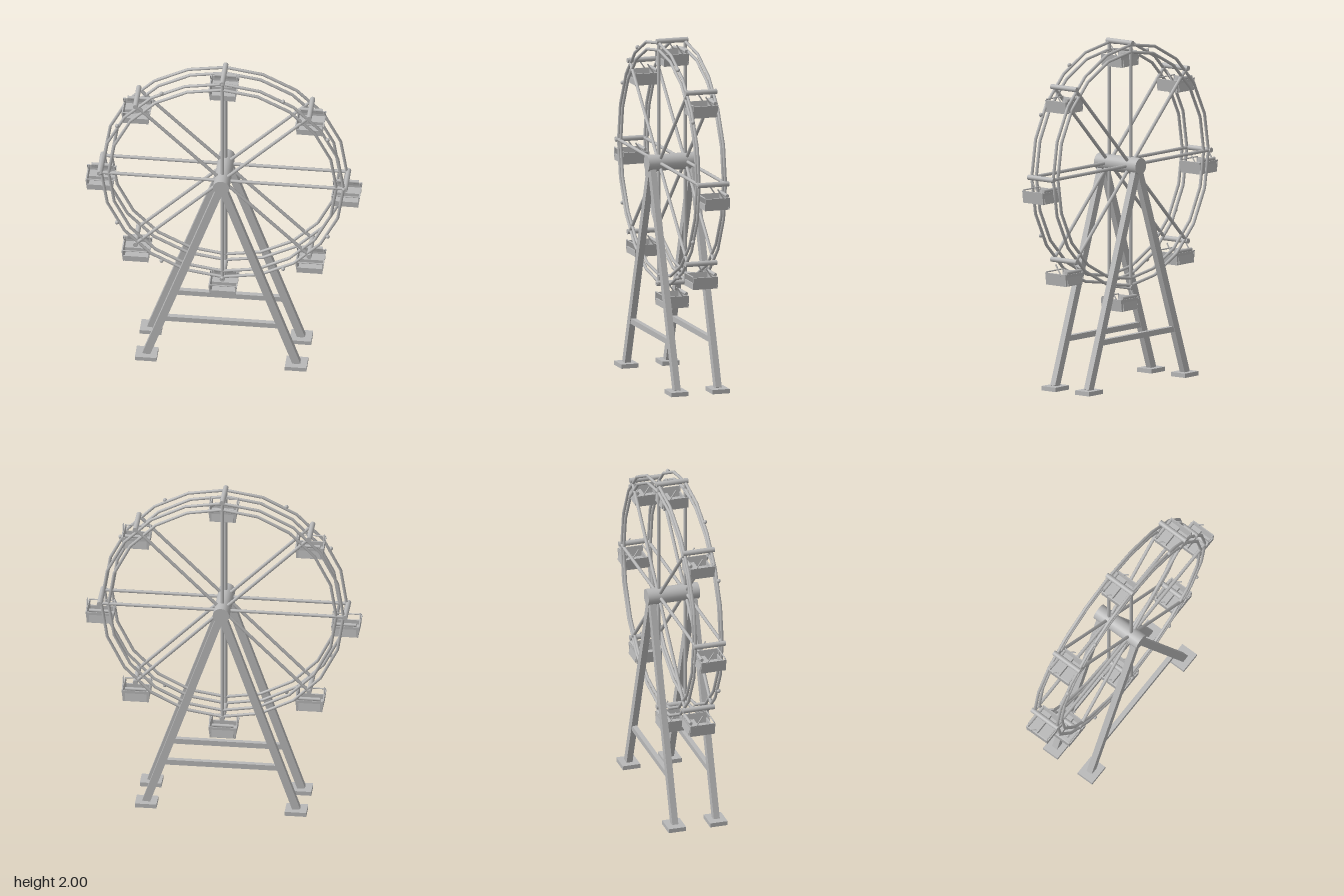
import * as THREE from 'three';

const steel = new THREE.MeshStandardMaterial({ color: 0xb8b8b8 });
steel.name = 'grey steel';

const HUB_Y = 1.275, RIM = 0.71, RING_Z = 0.08, LEG_Z = 0.125;

function add(parent, name, geometry, x = 0, y = 0, z = 0) {
  const mesh = new THREE.Mesh(geometry, steel);
  mesh.name = name;
  mesh.position.set(x, y, z);
  parent.add(mesh);
  return mesh;
}

const box = (w, h, d) => new THREE.BoxGeometry(w, h, d);
const rodZ = (r, length, sides = 16) => new THREE.CylinderGeometry(r, r, length, sides).rotateX(Math.PI / 2);
const rodX = (r, length, sides = 10) => new THREE.CylinderGeometry(r, r, length, sides).rotateZ(Math.PI / 2);

// Straight bar between two points; a box if depth is given, otherwise round
function bar(parent, name, a, b, width, depth) {
  const from = new THREE.Vector3(...a), to = new THREE.Vector3(...b);
  const dir = to.clone().sub(from), length = dir.length();
  const geometry = depth ? box(width, length, depth)
    : new THREE.CylinderGeometry(width / 2, width / 2, length, 8);
  const mesh = add(parent, name, geometry);
  mesh.position.copy(from).add(to).multiplyScalar(0.5);
  mesh.quaternion.setFromUnitVectors(new THREE.Vector3(0, 1, 0), dir.normalize());
  return mesh;
}

// Open car with a bench, hanging below its axle (origin at the axle)
function createCabin() {
  const cabin = new THREE.Group();
  cabin.name = 'cabin';
  add(cabin, 'floor', box(0.145, 0.008, 0.146), 0, -0.132, 0);
  add(cabin, 'backWall', box(0.152, 0.066, 0.008), 0, -0.101, -0.07);
  add(cabin, 'frontWall', box(0.148, 0.035, 0.008), 0, -0.117, 0.07);
  add(cabin, 'bench', box(0.142, 0.03, 0.06), 0, -0.114, -0.036);

  // Tilted backrest with a rolled top
  bar(cabin, 'backrest', [0, -0.13, -0.078], [0, -0.062, -0.066], 0.125, 0.008);
  add(cabin, 'backrestRoll', rodX(0.01, 0.125), 0, -0.058, -0.066);
  add(cabin, 'safetyBar', rodX(0.004, 0.15, 8), 0, -0.063, 0.072);

  for (const s of [-1, 1]) {
    // Side walls lean outwards towards the top
    bar(cabin, 'sideWall', [s * 0.07, -0.136, 0], [s * 0.079, -0.066, 0], 0.007, 0.15);
    bar(cabin, 'hanger', [s * 0.079, -0.012, 0], [s * 0.079, -0.075, -0.042], 0.008);
    bar(cabin, 'barPost', [s * 0.075, -0.085, 0.072], [s * 0.075, -0.06, 0.072], 0.007);
  }
  return cabin;
}

function createWheel() {
  const wheel = new THREE.Group();
  wheel.name = 'wheel';
  wheel.position.y = HUB_Y;
  add(wheel, 'hub', rodZ(0.048, 0.31, 24));

  for (const z of [-RING_Z, RING_Z]) {
    add(wheel, 'outerRing', new THREE.TorusGeometry(0.7, 0.009, 8, 20), 0, 0, z);
    add(wheel, 'innerRing', new THREE.TorusGeometry(0.658, 0.009, 8, 20), 0, 0, z);
  }

  // Spokes, cross axles and cabins
  for (let i = 0; i < 8; i++) {
    const a = i * Math.PI / 4, x = RIM * Math.cos(a), y = RIM * Math.sin(a);
    for (const z of [-RING_Z, RING_Z]) bar(wheel, 'spoke', [0, 0, z], [x, y, z], 0.02);
    add(wheel, 'axle', rodZ(0.015, 0.19), x, y, 0);
    const cabin = createCabin();
    cabin.position.set(x, y, 0);
    wheel.add(cabin);
  }

  // Lamps on the front rim
  const lamp = new THREE.SphereGeometry(0.012, 10, 8);
  for (let i = 0; i < 12; i++) {
    const a = i * Math.PI / 6;
    add(wheel, 'lamp', lamp, 0.703 * Math.cos(a), 0.703 * Math.sin(a), 0.087);
  }
  return wheel;
}

function createStand() {
  const stand = new THREE.Group();
  stand.name = 'stand';
  for (const z of [-LEG_Z, LEG_Z]) {
    for (const s of [-1, 1]) {
      bar(stand, 'leg', [s * 0.435, 0.022, z], [s * 0.008, 1.25, z], 0.045, 0.036);
      add(stand, 'foot', box(0.125, 0.025, 0.105), s * 0.433, 0.0125, z);
    }
    add(stand, 'crossbar', box(0.65, 0.032, 0.028), 0, 0.287, z);
  }
  return stand;
}

export function createModel() {
  const model = new THREE.Group();
  model.name = 'ferrisWheel';
  model.add(createWheel(), createStand());
  return model;
}
